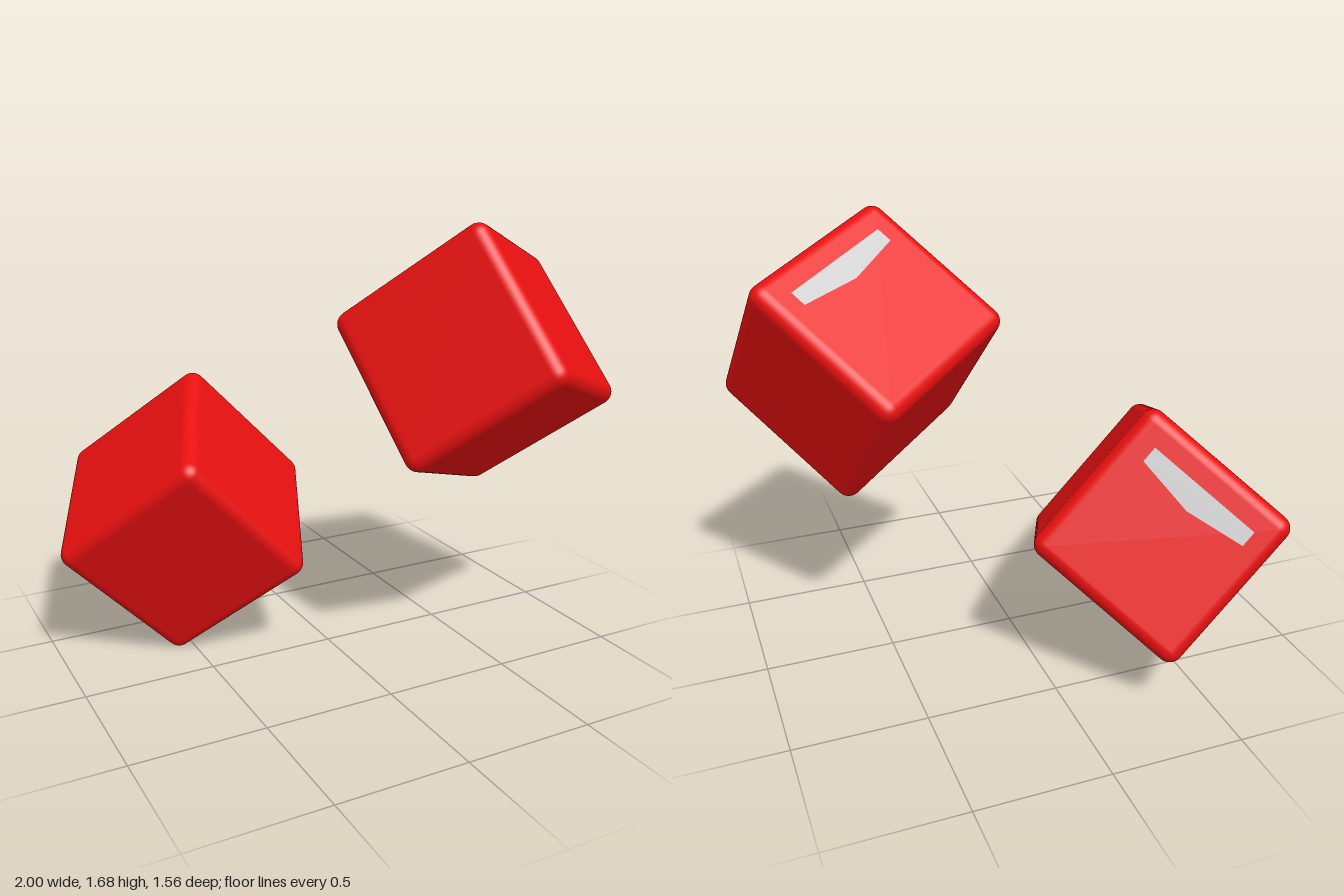
import * as THREE from 'three';
import { RoundedBoxGeometry } from 'three/addons/geometries/RoundedBoxGeometry.js';

const SIZE = 0.675;
const RADIUS = 0.05;

// One tumbling block: 'up' is the normal of the marked face, 'edge' points to the side the mark sits near
function makeBlock(name, center, up, edge, materials) {
  const block = new THREE.Group();
  block.name = name;

  const body = new THREE.Mesh(new RoundedBoxGeometry(SIZE, SIZE, SIZE, 5, RADIUS), materials.body);
  body.name = 'roundedCube';
  block.add(body);

  // Thin highlight strip: straight outer edge, inner edge peaked in the middle
  const outline = [[-0.23, -0.225], [0.23, -0.225], [0.23, -0.162], [0, -0.127], [-0.23, -0.162]];
  const shape = new THREE.Shape(outline.map(([x, y]) => new THREE.Vector2(x, y)));
  const strip = new THREE.Mesh(new THREE.ShapeGeometry(shape).rotateX(-Math.PI / 2), materials.strip);
  strip.name = 'highlightStrip';
  strip.position.y = SIZE / 2 + 0.002;
  block.add(strip);

  // Orthonormal frame from the two directions
  const y = new THREE.Vector3(...up).normalize();
  const x = new THREE.Vector3().crossVectors(y, new THREE.Vector3(...edge)).normalize();
  const z = new THREE.Vector3().crossVectors(x, y);
  block.quaternion.setFromRotationMatrix(new THREE.Matrix4().makeBasis(x, y, z));
  block.position.set(...center);
  return block;
}

export function createModel() {
  const materials = {
    body: new THREE.MeshStandardMaterial({ color: 0xe81010 }),
    strip: new THREE.MeshStandardMaterial({ color: 0xcccccc, side: THREE.DoubleSide }),
  };
  const model = new THREE.Group();
  model.name = 'tumblingBlocks';
  model.add(
    makeBlock('upperBlock', [0.513, 1.16, 0.235], [-0.133, 0.757, -0.643], [0.58, 0.59, 0.558], materials),
    makeBlock('lowerBlock', [-0.465, 0.531, -0.34], [0.365, 0.35, -0.862], [-0.69, 0.72, 0], materials),
  );
  return model;
}
